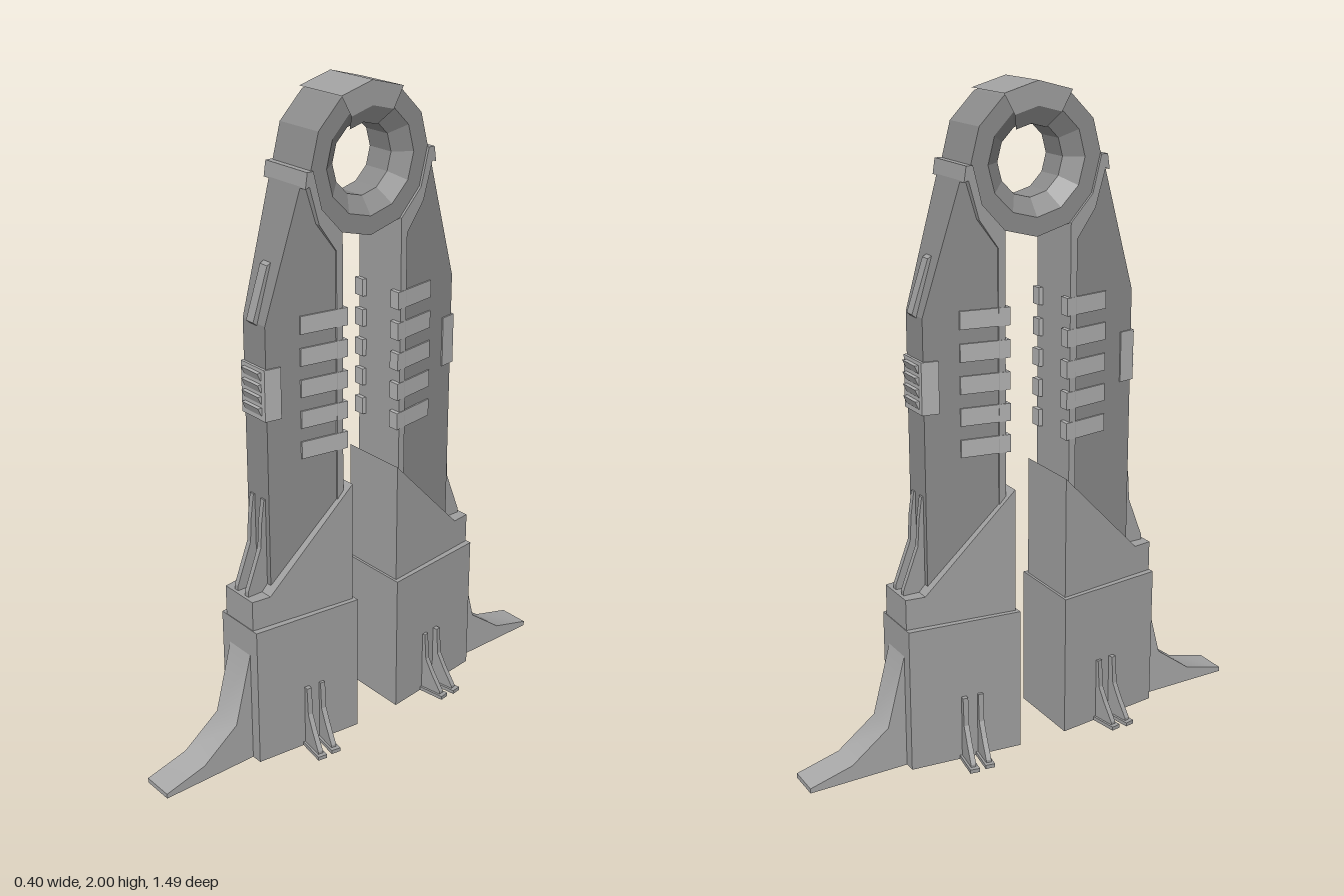
import * as THREE from 'three';
import { toCreasedNormals } from 'three/addons/utils/BufferGeometryUtils.js';

// Greys from dark structure to light trim
const material = (color, flatShading = true) => new THREE.MeshStandardMaterial({ color, flatShading });
const dark = material(0x8c8c8c);
const mid = material(0xa0a0a0);
const light = material(0xb2b2b2);
const smooth = material(0xa8a8a8, false);

function add(parent, name, mat, geometry) {
  const mesh = new THREE.Mesh(geometry, mat);
  mesh.name = name;
  parent.add(mesh);
  return mesh;
}

const extrude = (points, depth) => new THREE.ExtrudeGeometry(
  new THREE.Shape(points.map(([a, b]) => new THREE.Vector2(a, b))),
  { depth, bevelEnabled: false });

// Side profile of [z, y] points, spanning x from lo(z) to hi(z)
function slab(points, lo, hi) {
  const g = extrude(points, 1), p = g.attributes.position;
  for (let i = 0; i < p.count; i++) {
    const z = p.getX(i), c = p.getZ(i);
    p.setXYZ(i, THREE.MathUtils.lerp(hi(z), lo(z), c), p.getY(i), z);
  }
  g.computeVertexNormals();
  return g;
}
const tapered = (points, w) => slab(points, z => -w(z), w);
const rect = (z0, z1, y0, y1) => [[z0, y0], [z1, y0], [z1, y1], [z0, y1]];

// Half widths, narrowing towards the outer side
const legW = z => 0.107 - 0.163 * z;
const collarW = z => 0.121 - 0.13 * z;
const baseW = z => 0.134 - 0.114 * z;

function createLeg() {
  const leg = new THREE.Group();
  leg.name = 'leg';

  add(leg, 'legColumn', dark, tapered([[0.115, 0.3], [0.35, 0.3], [0.35, 1.37], [0.235, 1.745],
    [0.22, 1.745], [0.19, 1.64], [0.115, 1.57]], legW));
  // Raised strip along the inner edge, cradling the ring
  add(leg, 'innerStrip', mid, tapered([[0.108, 0.4], [0.13, 0.4], [0.13, 1.55], [0.19, 1.635],
    [0.222, 1.745], [0.236, 1.74], [0.229, 1.785], [0.208, 1.785], [0.18, 1.676], [0.108, 1.598]],
    () => 0.091));

  // Base block, collar and toe
  add(leg, 'baseBlock', mid, tapered(rect(0.08, 0.432, 0, 0.45), baseW));
  add(leg, 'collar', mid, tapered([[0.088, 0.4], [0.43, 0.4], [0.43, 0.545], [0.37, 0.545],
    [0.088, 0.835]], collarW));
  add(leg, 'toe', smooth, toCreasedNormals(tapered([[0.4, 0], [0.745, 0], [0.745, 0.015],
    [0.61, 0.05], [0.49, 0.14], [0.432, 0.36], [0.4, 0.36]], () => 0.05), 0.75));

  // Fins on the collar
  for (const x of [-0.025, 0.025]) {
    add(leg, 'collarFin', mid, slab([[0.34, 0.54], [0.42, 0.54], [0.42, 0.56], [0.37, 0.69],
      [0.365, 0.77], [0.355, 0.84], [0.34, 0.84]], () => x - 0.008, () => x + 0.008));
  }

  // Plate on the sloping shoulder
  add(leg, 'shoulderPlate', mid, tapered([[0.28, 1.53], [0.34, 1.36], [0.352, 1.365],
    [0.364, 1.375], [0.312, 1.527], [0.298, 1.535]], () => 0.016));

  // Louvred vent
  add(leg, 'ventFrame', light, tapered(rect(0.307, 0.358, 1.09, 1.245), z => legW(z) + 0.005));
  for (let i = 0; i < 4; i++) {
    const y = 1.105 + i * 0.035;
    add(leg, 'ventLouvre', light, tapered([[0.35, y], [0.36, y], [0.371, y + 0.024],
      [0.35, y + 0.024]], () => 0.038));
  }

  for (const s of [1, -1]) {
    // Side ribs
    for (let i = 0; i < 5; i++) {
      const y = 0.95 + i * 0.0945;
      const inner = z => s * (legW(z) - 0.03), outer = z => s * (legW(z) + 0.005);
      add(leg, 'sideRib', light, slab(rect(0.095, 0.244, y, y + 0.053),
        s > 0 ? inner : outer, s > 0 ? outer : inner));
    }
    // Pairs of small stabilisers, square to the slanted base sides
    for (const z of [0.195, 0.247]) {
      const foot = new THREE.Group();
      foot.name = 'stabiliser';
      const fin = extrude([[0.07, 0], [0.185, 0], [0.185, 0.02], [0.15, 0.075], [0.126, 0.12],
        [0.12, 0.208], [0.07, 0.208]], 0.016);
      add(foot, 'stabiliserFin', mid, fin.translate(0, 0, -0.008));
      add(foot, 'stabiliserPad', mid,
        new THREE.BoxGeometry(0.125, 0.012, 0.03).translate(0.136, 0.006, 0));
      foot.position.z = z;
      foot.rotation.y = s > 0 ? -0.16 : Math.PI + 0.16;
      leg.add(foot);
    }
  }
  return leg;
}

// Twelve-sided ring section around the x axis, with a chamfered eye
function ringSection(hole, chamfer, outer, eyeW, w, segments, start, length) {
  const profile = [[hole, -eyeW], [chamfer, -w], [outer, -w], [outer, w], [chamfer, w],
    [hole, eyeW], [hole, -eyeW]].map(([r, h]) => new THREE.Vector2(r, h));
  return new THREE.LatheGeometry(profile, segments, start, length)
    .rotateZ(Math.PI / 2).translate(0, 1.78, 0);
}

export function createModel() {
  const model = new THREE.Group();
  model.name = 'pylon';

  for (const turn of [0, Math.PI]) {
    const leg = createLeg();
    leg.rotation.y = turn;
    model.add(leg);
  }

  add(model, 'ring', dark, ringSection(0.106, 0.157, 0.212, 0.045, 0.083, 12, 0, Math.PI * 2));
  // Cap wrapped over the top of the ring
  add(model, 'ringCap', mid,
    ringSection(0.099, 0.151, 0.22, 0.051, 0.09, 2, Math.PI / 3, Math.PI / 3));

  return model;
}
